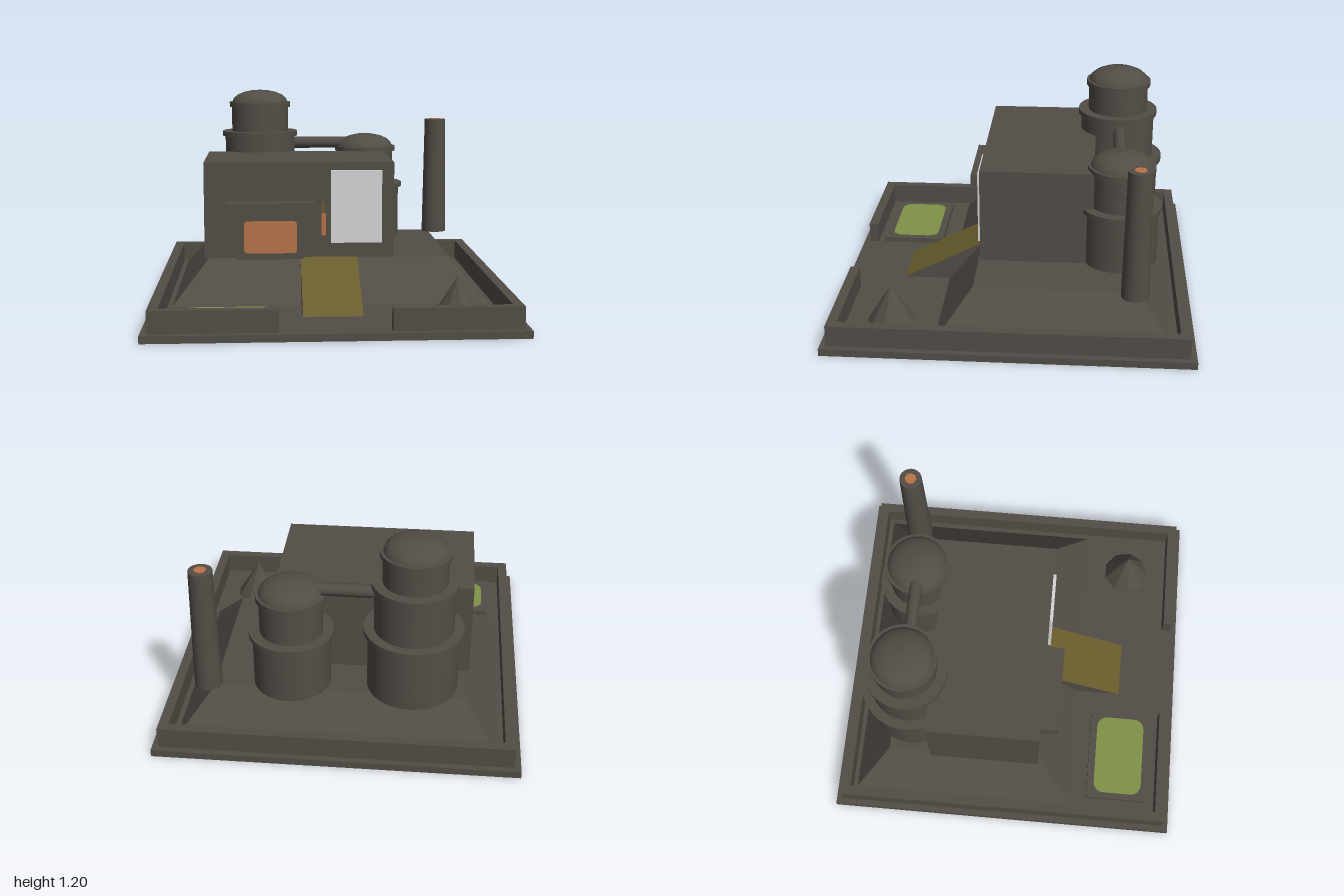
import * as THREE from 'three';

const mat = (name, color, side = THREE.FrontSide) => {
  const m = new THREE.MeshStandardMaterial({ color, side });
  m.name = name;
  return m;
};

export function createModel() {
  const model = new THREE.Group();
  model.name = 'industrialBuilding';
  const stone = mat('dark stone', 0x524d46);
  const orange = mat('orange', 0xb87447, THREE.DoubleSide);
  const green = mat('green', 0x80924a, THREE.DoubleSide);
  const olive = mat('olive', 0x695d2d, THREE.DoubleSide);
  const pale = mat('pale grey', 0xd6d6d6);

  const add = (name, geo, material, x = 0, y = 0, z = 0, parent = model) => {
    const m = new THREE.Mesh(geo, material);
    m.name = name;
    m.position.set(x, y, z);
    parent.add(m);
    return m;
  };
  // Box given by its limits on each axis
  const box = (name, x0, x1, y0, y1, z0, z1, material = stone) =>
    add(name, new THREE.BoxGeometry(x1 - x0, y1 - y0, z1 - z0), material,
      (x0 + x1) / 2, (y0 + y1) / 2, (z0 + z1) / 2);
  // Flat rounded rectangle, centred
  const roundedPlate = (w, h, r) => {
    const s = new THREE.Shape(), a = w / 2, b = h / 2;
    s.moveTo(-a + r, -b);
    s.lineTo(a - r, -b).quadraticCurveTo(a, -b, a, -b + r);
    s.lineTo(a, b - r).quadraticCurveTo(a, b, a - r, b);
    s.lineTo(-a + r, b).quadraticCurveTo(-a, b, -a, b - r);
    s.lineTo(-a, -b + r).quadraticCurveTo(-a, -b, -a + r, -b);
    return new THREE.ShapeGeometry(s, 8);
  };

  // Ground slab and perimeter wall with a front gateway
  box('groundSlab', -1, 1, 0, 0.04, -1, 1);
  box('backWall', -0.965, 0.965, 0.04, 0.16, -0.965, -0.91);
  for (const s of [-1, 1]) {
    const x = s * 0.9375;
    box('sideWall', x - 0.0275, x + 0.0275, 0.04, 0.16, -0.91, 0.91);
  }
  box('frontWallRight', -0.965, -0.295, 0.04, 0.16, 0.91, 0.965);
  box('frontWallLeft', 0.285, 0.965, 0.04, 0.16, 0.91, 0.965);

  // Sloped platform: a box with its top face drawn in
  const platform = new THREE.BoxGeometry(1.765, 0.235, 1.285).toNonIndexed();
  const p = platform.attributes.position;
  for (let i = 0; i < p.count; i++) {
    if (p.getY(i) > 0) p.setXYZ(i, Math.sign(p.getX(i)) * 0.6875, p.getY(i), Math.sign(p.getZ(i)) * 0.4475);
  }
  platform.computeVertexNormals();
  add('platform', platform, stone, 0, 0.1575, -0.2425);

  // Entrance ramp with an olive surface
  const side = new THREE.Shape([[-0.66, 0.04], [-0.2, 0.04], [-0.2, 0.275]].map(([a, b]) => new THREE.Vector2(a, b)));
  const ramp = add('ramp', new THREE.ExtrudeGeometry(side, { depth: 0.325, bevelEnabled: false }), stone, 0.16, 0, 0);
  ramp.rotation.y = Math.PI / 2;
  ramp.position.x = -0.165;
  const surface = add('rampSurface', new THREE.PlaneGeometry(0.325, Math.hypot(0.46, 0.235)), olive, 0, 0.161, 0.432);
  surface.position.x = -0.0025;
  surface.rotation.x = -Math.PI / 2 + Math.atan2(0.235, 0.46);

  // Main hall and porch
  box('mainHall', -0.71, 0.37, 0.275, 0.82, -0.44, 0.195);
  box('porch', -0.525, -0.15, 0.275, 0.53, 0.19, 0.25);
  box('canopy', -0.585, -0.085, 0.53, 0.6, 0.19, 0.295);
  add('porchWindow', roundedPlate(0.3, 0.185, 0.025), orange, -0.335, 0.403, 0.254);
  box('wallPanel', 0.01, 0.3, 0.36, 0.775, 0.195, 0.213, pale);

  // Narrow wall lamp
  add('wallLamp', roundedPlate(0.025, 0.13, 0.008), orange, -0.032, 0.465, 0.199);
  add('wallLampTop', roundedPlate(0.02, 0.065, 0.008), olive, -0.034, 0.565, 0.199);

  // Stepped round towers: each tier is [radius, bottom, top]
  const tower = (name, x, z, tiers, domeHeight) => {
    const g = new THREE.Group();
    g.name = name;
    g.position.set(x, 0, z);
    model.add(g);
    for (const [r, y0, y1] of tiers) {
      add('tier', new THREE.CylinderGeometry(r, r, y1 - y0, 40), stone, 0, (y0 + y1) / 2, 0, g);
    }
    const dome = [];
    for (let i = 0; i <= 5; i++) {
      const a = (i / 5) * Math.PI / 2;
      dome.push(new THREE.Vector2(0.172 * Math.cos(a), domeHeight * Math.sin(a)));
    }
    dome[5].x = 0;
    add('dome', new THREE.LatheGeometry(dome, 40), stone, 0, tiers.at(-1)[2], 0, g);
  };
  tower('tallTower', -0.395, -0.57, [
    [0.25, 0.275, 0.62], [0.272, 0.62, 0.65], [0.217, 0.65, 0.91],
    [0.233, 0.91, 0.94], [0.175, 0.94, 1.09], [0.189, 1.09, 1.12]], 0.075);
  tower('shortTower', 0.268, -0.59, [
    [0.213, 0.275, 0.585], [0.232, 0.585, 0.61], [0.173, 0.61, 0.81], [0.189, 0.81, 0.84]], 0.077);

  // Pipe linking the towers
  const pipe = add('linkPipe', new THREE.CylinderGeometry(0.036, 0.036, 0.6, 10), stone, -0.05, 0.862, -0.58);
  pipe.rotation.z = Math.PI / 2;

  // Chimney with a glowing mouth
  add('chimney', new THREE.CylinderGeometry(0.065, 0.077, 0.725, 24), stone, 0.727, 0.6375, -0.672);
  add('chimneyGlow', new THREE.CylinderGeometry(0.034, 0.034, 0.006, 8), orange, 0.727, 1.001, -0.672);

  // Pond bed and gravel heap in the yard
  box('pondBed', -0.835, -0.295, 0.04, 0.07, 0.5, 0.87);
  const pond = add('pond', roundedPlate(0.47, 0.285, 0.07), green, -0.565, 0.074, 0.683);
  pond.rotation.x = -Math.PI / 2;
  const heap = new THREE.ConeGeometry(0.137, 0.215, 9).toNonIndexed();
  heap.computeVertexNormals();
  add('gravelHeap', heap, stone, 0.665, 0.1475, 0.66);

  return model;
}
